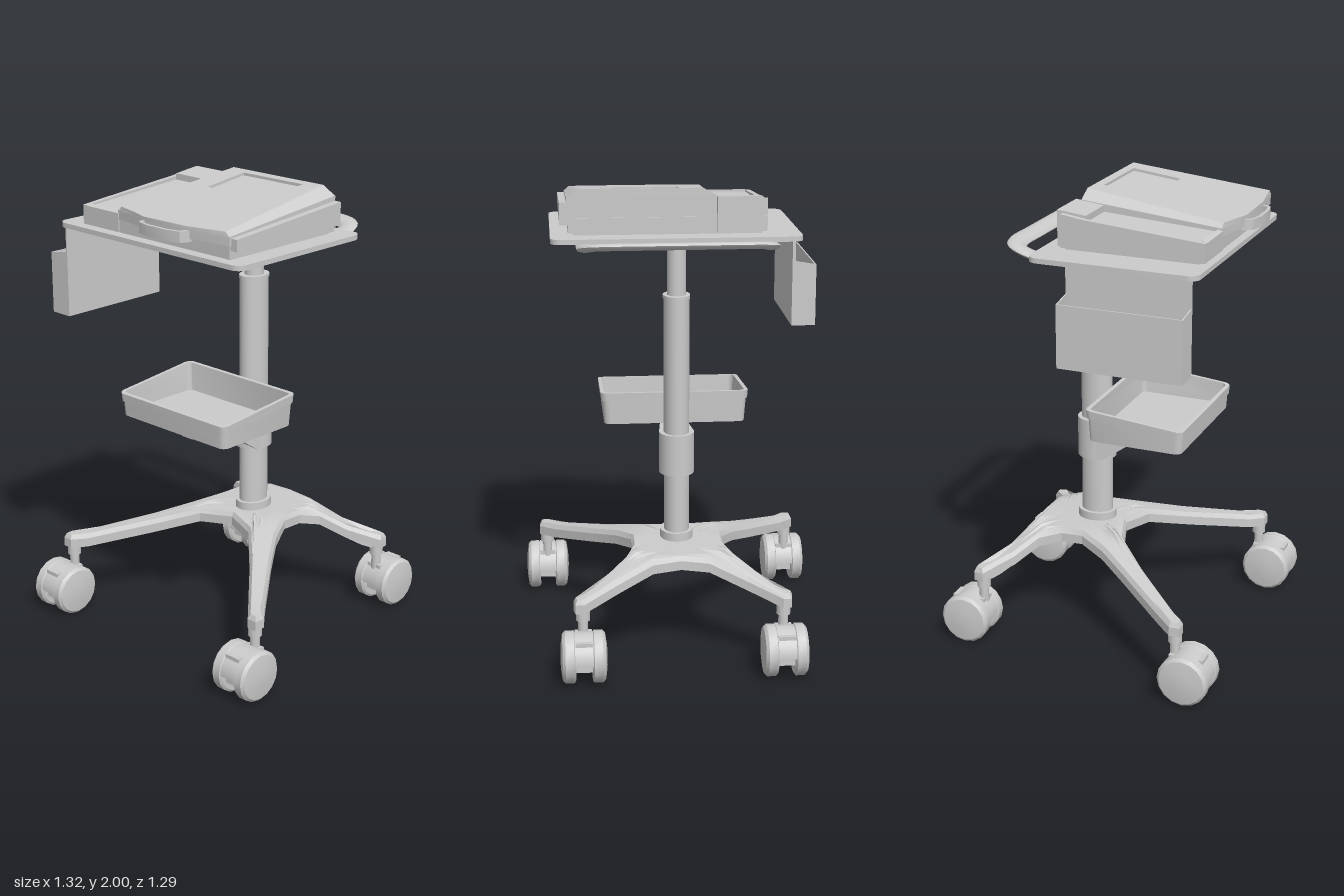
import * as THREE from 'three';
import { toCreasedNormals } from 'three/addons/utils/BufferGeometryUtils.js';

const material = new THREE.MeshStandardMaterial({ color: 0xcccccc, side: THREE.DoubleSide });
const lerp = THREE.MathUtils.lerp;

function part(parent, name, geometry, x = 0, y = 0, z = 0) {
  const mesh = new THREE.Mesh(geometry, material);
  mesh.name = name;
  mesh.position.set(x, y, z);
  parent.add(mesh);
  return mesh;
}

function box(parent, name, x0, x1, y0, y1, z0, z1) {
  return part(parent, name, new THREE.BoxGeometry(x1 - x0, y1 - y0, z1 - z0),
    (x0 + x1) / 2, (y0 + y1) / 2, (z0 + z1) / 2);
}

// Move every vertex by a rule, then rebuild normals
function warp(geo, rule, crease = 0.5) {
  const p = geo.attributes.position;
  for (let i = 0; i < p.count; i++) p.setXYZ(i, ...rule(p.getX(i), p.getY(i), p.getZ(i)));
  return toCreasedNormals(geo, crease);
}

const polygon = pts => new THREE.Shape(pts.map(([a, b]) => new THREE.Vector2(a, b)));

function roundedRect(x0, x1, z0, z1, r) {
  const s = new THREE.Shape();
  s.absarc(x1 - r, z1 - r, r, 0, Math.PI / 2);
  s.absarc(x0 + r, z1 - r, r, Math.PI / 2, Math.PI);
  s.absarc(x0 + r, z0 + r, r, Math.PI, Math.PI * 1.5);
  s.absarc(x1 - r, z0 + r, r, Math.PI * 1.5, Math.PI * 2);
  s.closePath();
  return s;
}

// Plan outline in (x, z); rule(x, t, z) places points, t = 0 bottom, 1 top
function planSolid(shape, rule) {
  const geo = new THREE.ExtrudeGeometry(shape, { depth: 1, bevelEnabled: false, curveSegments: 5 });
  return warp(geo.rotateX(Math.PI / 2), (x, y, z) => rule(x, y + 1, z));
}

// Side profile in (z, y), extruded from x0 to x1
function sideSolid(pts, x0, x1) {
  const geo = new THREE.ExtrudeGeometry(polygon(pts), { depth: x1 - x0, bevelEnabled: false });
  return geo.rotateY(-Math.PI / 2).translate(x1, 0, 0);
}

function profileAt(table, r) {
  for (let i = 1; i < table.length; i++) {
    const [r0, y0] = table[i - 1], [r1, y1] = table[i];
    if (r <= r1) return lerp(y0, y1, (r - r0) / (r1 - r0));
  }
  return table[table.length - 1][1];
}

// Four-legged base: a star outline in radial rings, height falling along the legs
function baseGeometry() {
  const cz = -0.12;
  const half = [[0, -.365], [.12, -.37], [.27, -.42], [.42, -.51], [.455, -.505], [.462, -.46], [.335, -.365],
    [.24, -.29], [.2, -.2], [.2, -.1], [.26, .02], [.36, .16], [.53, .38], [.598, .46], [.595, .505],
    [.55, .505], [.5, .45], [.3, .23], [.15, .08], [0, .03]];
  const outline = [...half, ...half.slice(1, -1).reverse().map(([x, z]) => [-x, z])];
  const n = outline.length;
  const inset = outline.map(([x, z], i) => {
    const a = outline[(i + n - 1) % n], b = outline[(i + 1) % n];
    const dx = b[0] - a[0], dz = b[1] - a[1], l = Math.hypot(dx, dz);
    return [x - dz / l * .012, z + dx / l * .012];
  });
  const front = [[0, .48], [.2, .48], [.41, .425], [.76, .352], [.85, .347]];
  const back = [[0, .48], [.25, .475], [.46, .37], [.51, .35], [.6, .347]];
  const height = (x, z) => profileAt(z > cz ? front : back, Math.hypot(x, z - cz));
  const rings = [];
  const steps = [.05, .25, .35, .45, .55, .65, .75, .85, .92, 1];
  for (const t of steps) rings.push([inset, t, 0]);
  rings.push([outline, 1, -.02], [outline, 1, -.06]);
  for (const t of steps.slice().reverse()) rings.push([inset, t, -.063]);
  const pos = [], index = [];
  rings.forEach(([pts, t, drop], i) => pts.forEach(([px, pz], j) => {
    const x = px * t, z = cz + (pz - cz) * t;
    pos.push(x, height(x, z) + drop, z);
    if (i === 0) return;
    const k = (j + 1) % n, a = (i - 1) * n + j, b = (i - 1) * n + k, c = i * n + j, d = i * n + k;
    index.push(a, b, c, b, d, c);
  }));
  const geo = new THREE.BufferGeometry();
  geo.setAttribute('position', new THREE.Float32BufferAttribute(pos, 3));
  geo.setIndex(index);
  return toCreasedNormals(geo, 0.4);
}

// Twin-wheel caster; the wheels trail outward from the stem
function addCaster(parent, name, x, z, out) {
  const g = new THREE.Group();
  g.name = name;
  g.position.set(x, 0, z);
  parent.add(g);
  const profile = [[0, .035], [.1, .035], [.11, .042], [.11, .078], [.098, .09], [.05, .097], [0, .099]];
  const wheel = toCreasedNormals(new THREE.LatheGeometry(
    profile.map(([r, y]) => new THREE.Vector2(r, y)), 16).rotateZ(-Math.PI / 2), 0.45);
  for (const s of [0, Math.PI]) part(g, 'casterWheel', wheel, 0, .11, out * .06).rotation.y = s;
  const hood = new THREE.CylinderGeometry(.105, .105, .076, 16, 1, false, 0, Math.PI).rotateZ(Math.PI / 2);
  part(g, 'casterHood', hood, 0, .11, out * .06);
  box(g, 'casterBody', -.036, .036, .07, .2, out * .06 - .075, out * .06 + .075);
  part(g, 'casterStem', new THREE.CylinderGeometry(.021, .021, .12, 12), 0, .23, 0);
  part(g, 'casterCollar', new THREE.CylinderGeometry(.03, .03, .06, 12), 0, .28, 0);
}

function addColumn(root) {
  const tube = (name, rx, rz, y0, y1) => part(root, name,
    new THREE.CylinderGeometry(1, 1, y1 - y0, 28).scale(rx, 1, rz), 0, (y0 + y1) / 2, -.11);
  tube('columnFoot', .072, .086, .465, .515);
  tube('lowerColumn', .055, .07, .5, 1.545);
  tube('columnLip', .058, .072, 1.54, 1.555);
  tube('upperColumn', .04, .043, 1.54, 1.79);
  tube('columnCap', .046, .05, 1.75, 1.79);
  tube('trayCollar', .076, .086, .775, .955);
}

// Open tray on a tapering arm
function addTray(root) {
  const arm = sideSolid([[-.1, .955], [-.1, .775], [-.06, .775], [.06, .86], [.3, .912], [.3, .955]], -1, 1);
  part(root, 'trayArm', warp(arm, (x, y, z) => [x * lerp(.074, .032, (z + .1) / .4), y, z]));
  box(root, 'trayPad', -.035, .035, .95, .97, 0, .28);
  const tray = new THREE.Group();
  tray.name = 'tray';
  root.add(tray);
  const top = z => profileAt([[-.04, 1.106], [.2, 1.092], [.41, 1.063]], z);
  const place = (lo, hi) => (x, t, z) => {
    const y = lerp(lo(z), hi(z), t), k = lerp(.97, 1, (y - .965) / .13);
    return [x * k, y, .185 + (z - .185) * k];
  };
  const frame = (grow, wall) => {
    const s = roundedRect(-.315 - grow, .315 + grow, -.027 - grow, .397 + grow, .03);
    s.holes.push(roundedRect(-.315 + wall, .315 - wall, -.027 + wall, .397 - wall, .022));
    return s;
  };
  part(tray, 'trayWalls', planSolid(frame(0, .012), place(() => .965, top)));
  part(tray, 'trayRim', planSolid(frame(.005, .012), place(z => top(z) - .035, z => top(z) + .001)));
  part(tray, 'trayFloor', planSolid(roundedRect(-.313, .313, -.025, .395, .028), place(() => .965, () => .98)));
}

// Shelf with rounded push handle below its back edge
function addShelf(root) {
  const slab = roundedRect(-.525, .525, -.19, .53, .045);
  part(root, 'shelf', planSolid(slab, (x, t, z) => [x, lerp(1.785, 1.806, t), z]));
  const half = [[.38, -.07], [.38, -.17], [.378, -.25], [.355, -.305], [.295, -.328], [.15, -.33]];
  const path = new THREE.CatmullRomCurve3([...half, [0, -.33], ...half.slice().reverse().map(([x, z]) => [-x, z])]
    .map(([x, z]) => new THREE.Vector3(x, 0, z)), false, 'centripetal');
  const bend = (x, y, z) => [x, 1.772 + y * .38 + .034 * Math.max(0, (-z - .22) / .14), z];
  part(root, 'pushHandle', warp(new THREE.TubeGeometry(path, 70, .04, 12), bend, 0.9));
  for (const s of [-1, 1])
    part(root, 'handleEnd', new THREE.SphereGeometry(.045, 16, 10).scale(1.1, .38, .8), s * .38, 1.772, -.07);
}

// Hanging side pocket, open at the top
function addPocket(root) {
  const g = new THREE.Group();
  g.name = 'sidePocket';
  root.add(g);
  box(g, 'hangerPanel', -.509, -.503, 1.39, 1.79, -.025, .505);
  box(g, 'pocketOuterWall', -.606, -.6, 1.39, 1.655, -.025, .505);
  box(g, 'pocketFloor', -.603, -.506, 1.39, 1.398, -.025, .505);
  for (const z of [-.025, .499]) {
    const end = polygon([[-.604, 1.39], [-.506, 1.39], [-.506, 1.672], [-.604, 1.655]]);
    part(g, 'pocketEnd', new THREE.ExtrudeGeometry(end, { depth: .006, bevelEnabled: false }), 0, 0, z);
  }
}

// Desktop device: base, lower bay at one side, raised sloping lid, front grip
function addDevice(root) {
  const g = new THREE.Group();
  g.name = 'device';
  root.add(g);
  box(g, 'deviceFeet', -.36, .43, 1.8, 1.822, -.09, .48);
  box(g, 'deviceBase', -.38, .45, 1.817, 1.88, -.105, .505);
  const bay = sideSolid([[.51, 1.817], [.51, 1.895], [.49, 1.902], [.49, 1.892], [0, 1.925], [0, 1.952],
    [-.125, 1.966], [-.125, 1.817]], -.36, -.17);
  part(g, 'sideBay', bay);
  part(g, 'sideBayEdge', sideSolid([[.51, 1.817], [.51, 1.897], [0, 1.94], [-.1, 1.955], [-.1, 1.817]], -.383, -.36));

  const outline = [[-.175, -.1], [.455, -.1], [.455, .51], [.25, .54], [.02, .545], [-.06, .525], [-.175, .505]];
  const slope = (z, front, back) => lerp(back, front, (z + .1) / .645);
  part(g, 'lidSides', planSolid(polygon(outline), (x, t, z) => [x, lerp(1.87, slope(z, 1.902, 1.966), t), z]));
  const lid = polygon(outline);
  lid.holes.push(polygon([[-.02, -.065], [.31, -.065], [.31, .15], [-.02, .15]]));
  const inner = x => x > -.1 && x < .35;
  part(g, 'lidTop', planSolid(lid, (x, t, z) => {
    const k = inner(x) ? 1 : lerp(1, .8, t * slope(z, .3, 1));
    return [.14 + (x - .14) * k, lerp(slope(z, 1.9, 1.964), slope(z, 1.919, 2), t), z];
  }));
  const panel = [[-.022, -.067], [.312, -.067], [.312, .152], [-.022, .152]];
  part(g, 'lidRecess', planSolid(polygon(panel),
    (x, t, z) => [x, lerp(slope(z, 1.9, 1.96), slope(z, 1.908, 1.988), t), z]));
  const strip = [[.5, 1.85], [.5, 1.898], [-.1, 1.945], [-.1, 1.85]];
  part(g, 'sideStrip', sideSolid(strip, .45, .485));

  const grip = polygon([[0, .53], [.02, .53], [.03, .563], [.08, .574], [.19, .574], [.24, .563], [.25, .53],
    [.27, .53], [.25, .573], [.19, .588], [.08, .588], [.02, .573]]);
  part(g, 'frontGrip', planSolid(grip, (x, t, z) => [x, lerp(1.858, 1.903, t), z]));
}

export function createModel() {
  const root = new THREE.Group();
  root.name = 'rollingCart';
  part(root, 'legBase', baseGeometry());
  for (const s of [-1, 1]) {
    addCaster(root, 'frontCaster', s * .563, .475, 1);
    addCaster(root, 'backCaster', s * .423, -.475, -1);
  }
  addColumn(root);
  addTray(root);
  addShelf(root);
  addPocket(root);
  addDevice(root);
  return root;
}
